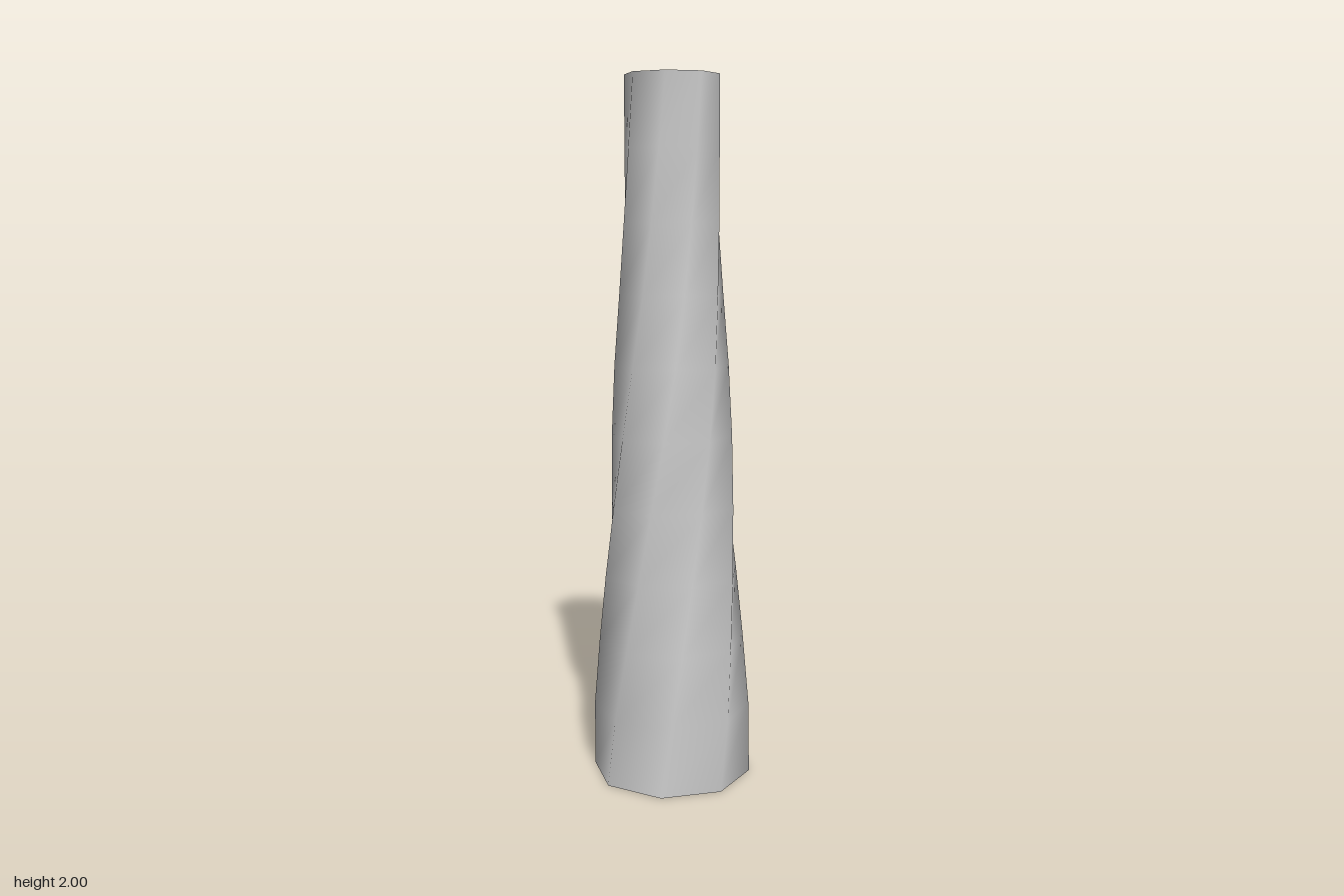
import * as THREE from 'three';
import { mergeVertices } from 'three/addons/utils/BufferGeometryUtils.js';

const HEIGHT = 2;
const SIDES = 8;
// Ring radii from the base to the rim, evenly spaced in height
const RADII = [0.23, 0.226, 0.211, 0.197, 0.184, 0.173, 0.162, 0.15, 0.142, 0.136, 0.132];

// Quarter-turn twist that eases slightly at both ends
const twist = (t) => t * Math.PI / 2 - 0.05 * Math.sin(2 * Math.PI * t);

// Open octagonal tube, tapered and twisted ring by ring
function twistedTube() {
  const rings = RADII.length - 1;
  const geometry = new THREE.CylinderGeometry(1, 1, HEIGHT, SIDES, rings, true);
  geometry.translate(0, HEIGHT / 2, 0);
  const pos = geometry.attributes.position;
  for (let i = 0; i < pos.count; i++) {
    const t = pos.getY(i) / HEIGHT;
    const r = RADII[Math.round(t * rings)];
    const angle = Math.atan2(pos.getX(i), pos.getZ(i)) + twist(t);
    pos.setXYZ(i, r * Math.sin(angle), t * HEIGHT, r * Math.cos(angle));
  }
  // Weld the seam so the shading is smooth all the way round
  geometry.deleteAttribute('uv');
  geometry.deleteAttribute('normal');
  const welded = mergeVertices(geometry);
  welded.computeVertexNormals();
  return welded;
}

export function createModel() {
  const group = new THREE.Group();
  group.name = 'twistedColumn';
  const material = new THREE.MeshStandardMaterial({ color: 0xcccccc, side: THREE.DoubleSide });
  const shaft = new THREE.Mesh(twistedTube(), material);
  shaft.name = 'shaft';
  group.add(shaft);
  return group;
}
